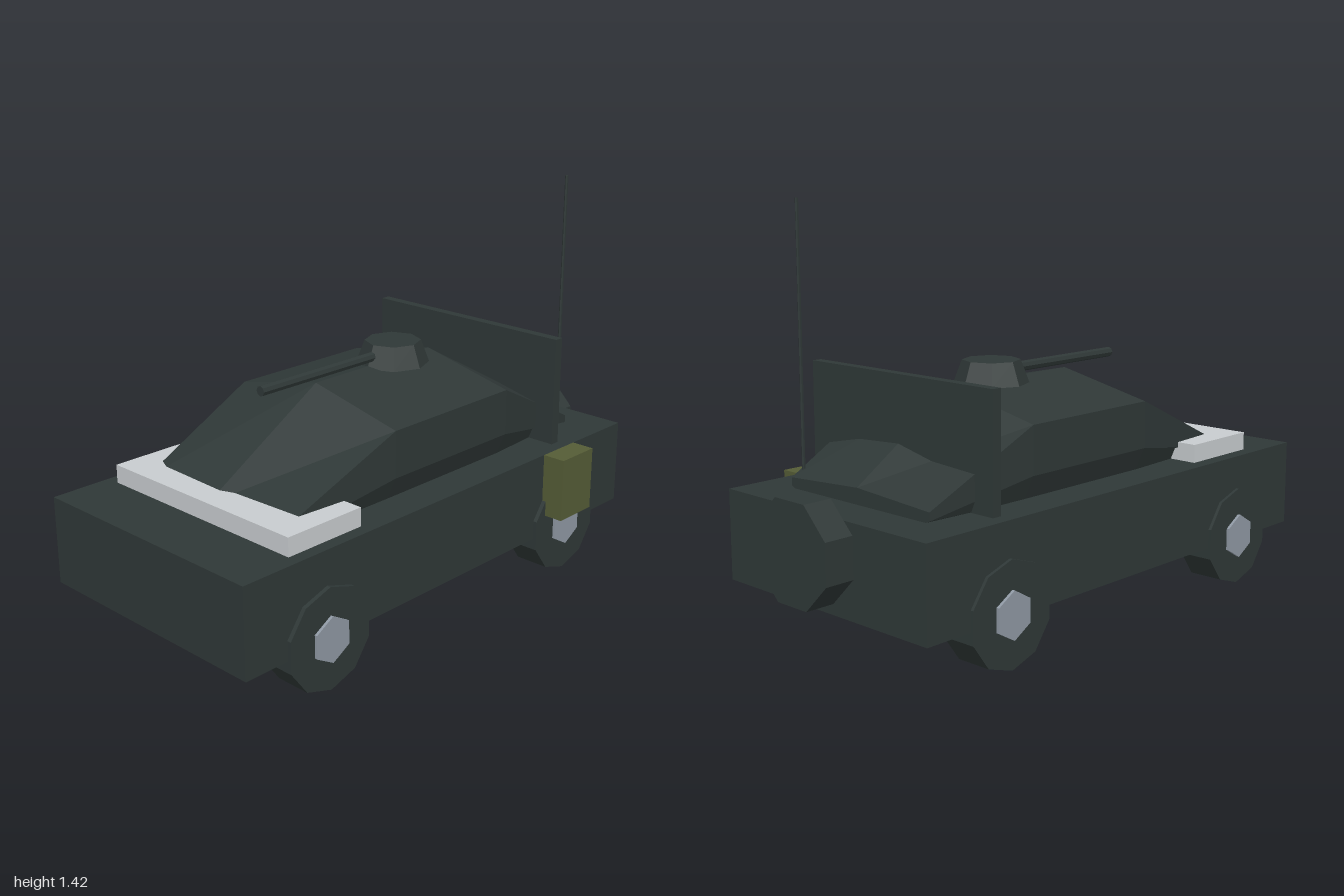
import * as THREE from 'three';

const CX = -0.033; // centreline of the vehicle

const material = (name, color) => {
  const m = new THREE.MeshStandardMaterial({ color, flatShading: true });
  m.name = name;
  return m;
};

export function createModel() {
  const group = new THREE.Group();
  const armour = material('dark armour green', 0x2f3837);
  const white = material('pale grey', 0xc8cccf);
  const steel = material('hub grey', 0x8f98a3);
  const olive = material('olive', 0x555c36);

  const add = (name, geometry, mat, x = 0, y = 0, z = 0) => {
    const mesh = new THREE.Mesh(geometry, mat);
    mesh.name = name;
    mesh.position.set(x, y, z);
    group.add(mesh);
    return mesh;
  };
  // Box given by its minimum and maximum corners
  const box = (name, mat, [x0, y0, z0], [x1, y1, z1]) =>
    add(name, new THREE.BoxGeometry(x1 - x0, y1 - y0, z1 - z0), mat,
      (x0 + x1) / 2, (y0 + y1) / 2, (z0 + z1) / 2);
  // Polygonal disc lying along x, with one corner straight up
  const disc = (radius, width, sides) =>
    new THREE.CylinderGeometry(radius, radius, width, sides).rotateY(Math.PI / 2).rotateZ(Math.PI / 2);

  // Hull, bonnet plate, rear screen and side stowage box
  box('hull', armour, [-0.505, 0.165, -0.885], [0.435, 0.475, 1]);
  box('bonnetPlate', white, [-0.455, 0.475, 0.47], [0.39, 0.54, 0.78]);
  box('rearScreen', armour, [-0.455, 0.475, -0.56], [0.39, 0.87, -0.525]);
  box('stowageBox', olive, [0.435, 0.245, -0.595], [0.52, 0.475, -0.42]);

  // Faceted cabin: z, base half width, side half width, then four heights
  const sections = [
    [0.735, 0.30, 0.328, 0.47, 0.478, 0.503, 0.51],
    [0.25, 0.33, 0.367, 0.47, 0.555, 0.72, 0.80],
    [-0.32, 0.33, 0.367, 0.47, 0.555, 0.72, 0.80],
    [-0.735, 0.30, 0.328, 0.47, 0.482, 0.51, 0.53],
  ];
  const positions = [];
  const index = [];
  for (const [z, base, side, y0, y1, y2, y3] of sections) {
    positions.push(-base, y0, z, -side, y1, z, -side, y2, z, 0, y3, z,
      side, y2, z, side, y1, z, base, y0, z);
  }
  const n = 7;
  for (let i = 0; i < sections.length - 1; i++) {
    for (let j = 0; j < n; j++) {
      const a = i * n + j, b = i * n + (j + 1) % n;
      index.push(a, b, b + n, a, b + n, a + n);
    }
  }
  const last = (sections.length - 1) * n;
  for (let j = 1; j < n - 1; j++) {
    index.push(0, j + 1, j, last, last + j, last + j + 1);
  }
  const indexed = new THREE.BufferGeometry();
  indexed.setAttribute('position', new THREE.Float32BufferAttribute(positions, 3));
  indexed.setIndex(index);
  const cabin = indexed.toNonIndexed();
  cabin.computeVertexNormals();
  add('cabin', cabin, armour, CX);

  // Turret and gun barrel
  add('turret', new THREE.CylinderGeometry(0.1, 0.13, 0.08, 8), armour, CX, 0.83, -0.13);
  add('gunBarrel', new THREE.CylinderGeometry(0.018, 0.018, 0.6, 8).rotateX(Math.PI / 2),
    armour, CX, 0.83, 0.2);

  // Wheels with hubs
  for (const side of [-1, 1]) {
    for (const [end, z] of [['front', 0.665], ['rear', -0.54]]) {
      const name = end + (side > 0 ? 'Left' : 'Right');
      add(name + 'Wheel', disc(0.177, 0.126, 10), armour, CX + side * 0.42, 0.179, z);
      add(name + 'Hub', disc(0.08, 0.126, 6), steel, CX + side * 0.43, 0.18, z);
    }
  }

  // Spare wheel and aerial
  add('spareWheel', new THREE.CylinderGeometry(0.179, 0.179, 0.104, 8)
    .rotateY(Math.PI / 8).rotateX(Math.PI / 2), armour, CX, 0.372, -0.948);
  add('aerial', new THREE.CylinderGeometry(0.006, 0.006, 0.945, 6), armour, 0.282, 0.9475, -0.695);

  return group;
}
